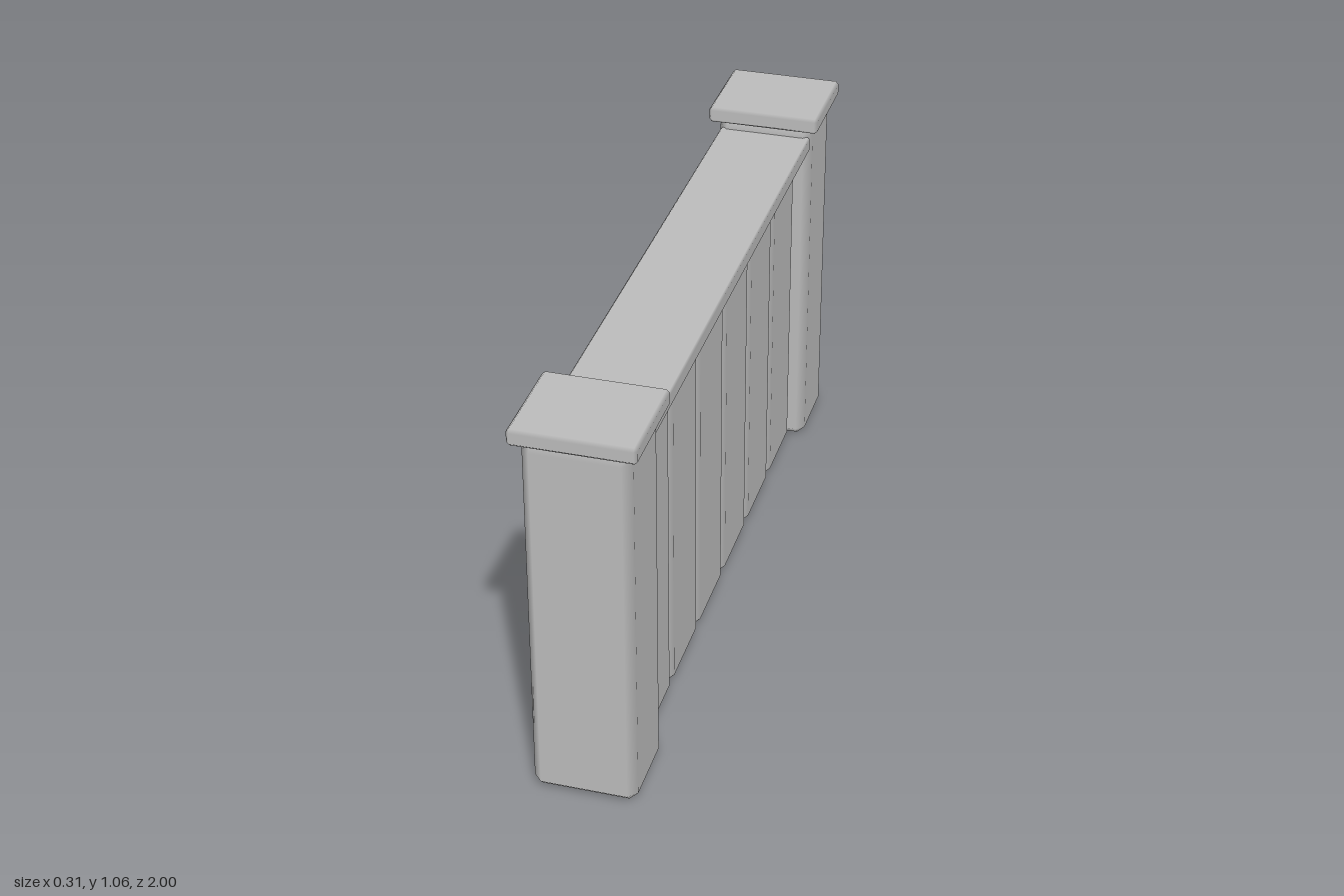
import * as THREE from 'three';
import { ConvexGeometry } from 'three/addons/geometries/ConvexGeometry.js';

const stone = new THREE.MeshStandardMaterial({ color: 0xbcbcbc });
stone.name = 'stone';
const panelStone = new THREE.MeshStandardMaterial({ color: 0xbcbcbc, side: THREE.DoubleSide });
panelStone.name = 'panelStone';

// Box with single chamfers; large faces stay flat and chamfers shade softly.
function chamferBox(w, h, d, bevel) {
  const half = [w / 2, h / 2, d / 2];
  const points = [];
  for (let axis = 0; axis < 3; axis++)
    for (const sx of [-1, 1]) for (const sy of [-1, 1]) for (const sz of [-1, 1]) {
      const p = [sx, sy, sz].map((s, i) => s * (half[i] - (i === axis ? 0 : bevel)));
      points.push(new THREE.Vector3(...p));
    }
  const geometry = new ConvexGeometry(points);
  const pos = geometry.attributes.position;
  const normal = geometry.attributes.normal;
  for (let i = 0; i < pos.count; i++) {
    const p = [pos.getX(i), pos.getY(i), pos.getZ(i)];
    normal.setXYZ(i, ...p.map((v, k) => (Math.abs(v) > half[k] - bevel / 2 ? Math.sign(v) : 0)));
  }
  return geometry;
}

// Box placed by its bottom, top and z range, centred on x.
function block(name, width, y0, y1, z0, z1, bevel) {
  const mesh = new THREE.Mesh(chamferBox(width, y1 - y0, z1 - z0, bevel), stone);
  mesh.position.set(0, (y0 + y1) / 2, (z0 + z1) / 2);
  mesh.name = name;
  return mesh;
}

// Straight-sided outline with a faceted round top.
function archPoints(radius, spring) {
  const points = [new THREE.Vector2(radius, 0)];
  for (let i = 0; i <= 8; i++) {
    const a = (i / 8) * Math.PI;
    points.push(new THREE.Vector2(radius * Math.cos(a), spring + radius * Math.sin(a)));
  }
  points.push(new THREE.Vector2(-radius, 0));
  return points;
}

function archPanel(name, radius, x) {
  const shape = new THREE.Shape(archPoints(radius, 0.555));
  const mesh = new THREE.Mesh(new THREE.ShapeGeometry(shape), panelStone);
  mesh.rotation.y = -Math.PI / 2;
  mesh.position.x = x;
  mesh.name = name;
  return mesh;
}

export function createModel() {
  const model = new THREE.Group();
  model.name = 'wallSection';

  // End pillars with caps
  for (const s of [-1, 1]) {
    const side = s > 0 ? 'front' : 'back';
    const range = (a, b) => (s > 0 ? [a, b] : [-b, -a]);
    model.add(block(side + 'Pillar', 0.266, 0, 1.01, ...range(0.752, 0.976), 0.023));
    model.add(block(side + 'Cap', 0.31, 1.012, 1.056, ...range(0.727, 1), 0.008));
  }

  // Upright slabs of alternating height
  const slabs = new THREE.Group();
  slabs.name = 'slabs';
  const step = 0.252;
  for (let i = 0; i < 6; i++) {
    const z0 = -0.756 + i * step;
    slabs.add(block('slab', 0.178, 0.003, i % 2 ? 0.92 : 0.945, z0 + 0.003, z0 + step - 0.003, 0.02));
  }
  model.add(slabs);

  // Coping along the top
  model.add(block('coping', 0.256, 0.943, 0.985, -0.765, 0.765, 0.005));

  // Arched doorway on the right side
  model.add(archPanel('archSurround', 0.38, -0.105));
  model.add(archPanel('archDoor', 0.315, -0.122));
  return model;
}
